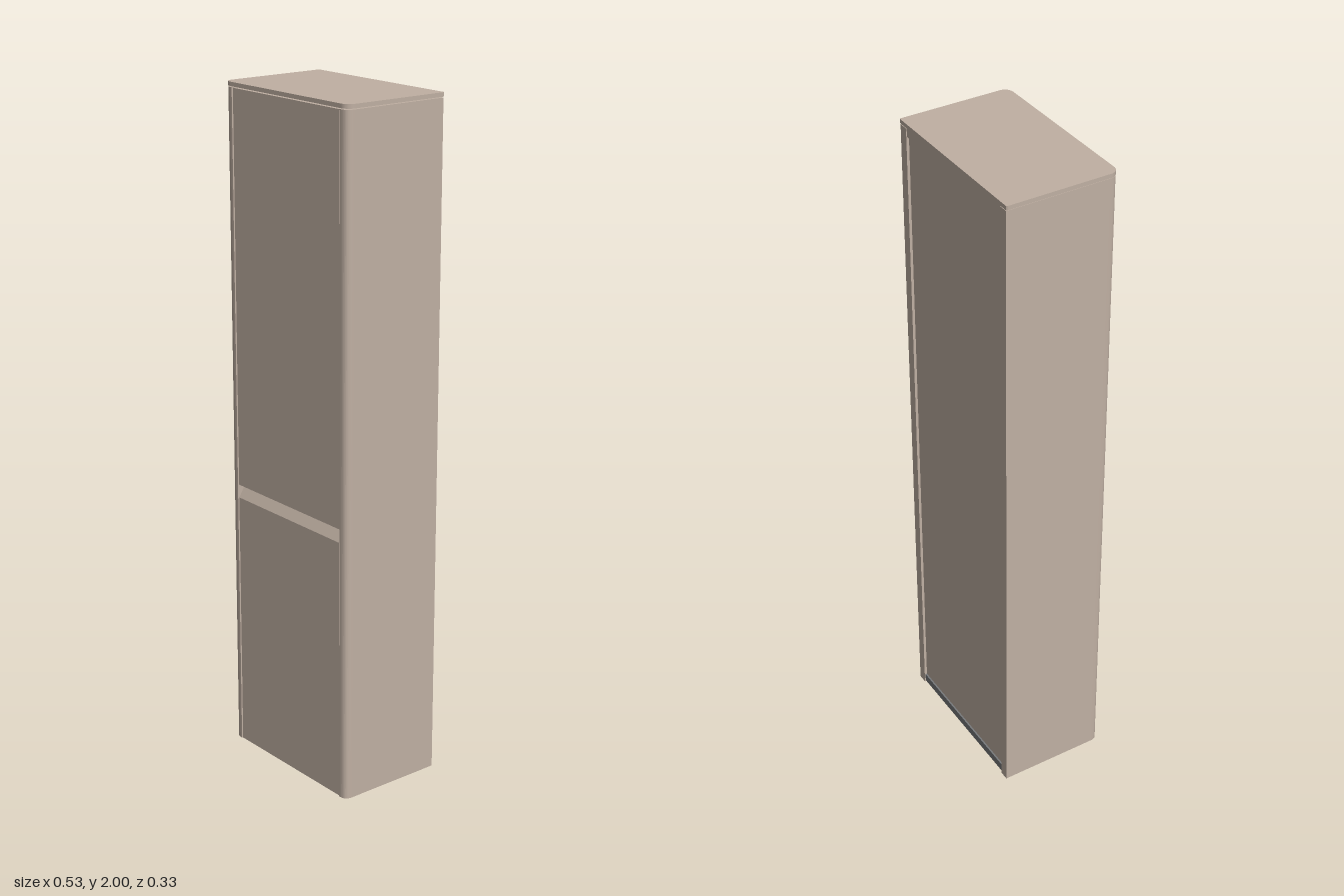
import * as THREE from 'three';

const tan = new THREE.MeshStandardMaterial({ color: 0xc0b0a3 });
const grey = new THREE.MeshStandardMaterial({ color: 0x77797b });

const W = 0.264, D = 0.166, T = 0.029; // half width, half depth, side thickness
const TOP = 1.988, GAP = 0.003;

function add(group, name, geometry, material = tan) {
  const mesh = new THREE.Mesh(geometry, material);
  mesh.name = name;
  group.add(mesh);
  return mesh;
}

// Box given by its limits on each axis
function panel(group, name, [x0, x1], [y0, y1], [z0, z1], material) {
  const mesh = add(group, name, new THREE.BoxGeometry(x1 - x0, y1 - y0, z1 - z0), material);
  mesh.position.set((x0 + x1) / 2, (y0 + y1) / 2, (z0 + z1) / 2);
  return mesh;
}

// Plan outline drawn as (x, -z), raised along y
function raise(shape, y0, y1) {
  const g = new THREE.ExtrudeGeometry(shape, { depth: y1 - y0, bevelEnabled: false, curveSegments: 10 });
  return g.rotateX(-Math.PI / 2).translate(0, y0, 0);
}

// Upright side with a rounded outer front corner
function sideShape(s) {
  const r = 0.024, shape = new THREE.Shape();
  shape.moveTo(s * (W - T), D);
  shape.lineTo(s * W, D);
  shape.lineTo(s * W, -D + r);
  shape.quadraticCurveTo(s * W, -D, s * (W - r), -D);
  shape.lineTo(s * (W - T), -D);
  shape.closePath();
  return shape;
}

// Top board with rounded front corners and tiny back ones
function topShape() {
  const w = 0.267, d = 0.167, r = 0.026, b = 0.003;
  const shape = new THREE.Shape();
  shape.moveTo(-w + r, -d);
  shape.lineTo(w - r, -d);
  shape.absarc(w - r, -d + r, r, -Math.PI / 2, 0);
  shape.lineTo(w, d - b);
  shape.lineTo(w - b, d);
  shape.lineTo(-w + b, d);
  shape.lineTo(-w, d - b);
  shape.lineTo(-w, -d + r);
  shape.absarc(-w + r, -d + r, r, Math.PI, Math.PI * 1.5);
  return shape;
}

export function createModel() {
  const cabinet = new THREE.Group();
  cabinet.name = 'tallCabinet';
  const inner = W - T, door = inner - GAP;

  // Carcass
  add(cabinet, 'leftSide', raise(sideShape(1), 0, TOP - 0.003));
  add(cabinet, 'rightSide', raise(sideShape(-1), 0, TOP - 0.003));
  add(cabinet, 'topBoard', raise(topShape(), TOP, 2));
  panel(cabinet, 'upperBoard', [-inner, inner], [1.96, TOP], [-D + 0.002, 0.135]);
  panel(cabinet, 'bottomBoard', [-inner, inner], [0.004, 0.03], [-D + 0.003, 0.135], grey);
  panel(cabinet, 'backPanel', [-inner, inner], [0.03, 1.96], [-D + 0.008, -D + 0.018]);
  panel(cabinet, 'middleShelf', [-inner, inner], [0.79, 0.82], [-D + 0.018, 0.125]);

  // Upper door
  panel(cabinet, 'upperDoor', [-door, door], [0.825, TOP - 0.004], [0.138, D - 0.002]);

  // Lower door, its top edge sloping back as a finger grip
  const profile = new THREE.Shape([
    [0.138, 0.001], [D - 0.002, 0.001], [D - 0.002, 0.785], [0.143, 0.82], [0.138, 0.82],
  ].map(([z, y]) => new THREE.Vector2(-z, y)));
  const lower = new THREE.ExtrudeGeometry(profile, { depth: door * 2, bevelEnabled: false });
  lower.rotateY(Math.PI / 2).translate(-door, 0, 0);
  add(cabinet, 'lowerDoor', lower);

  return cabinet;
}
